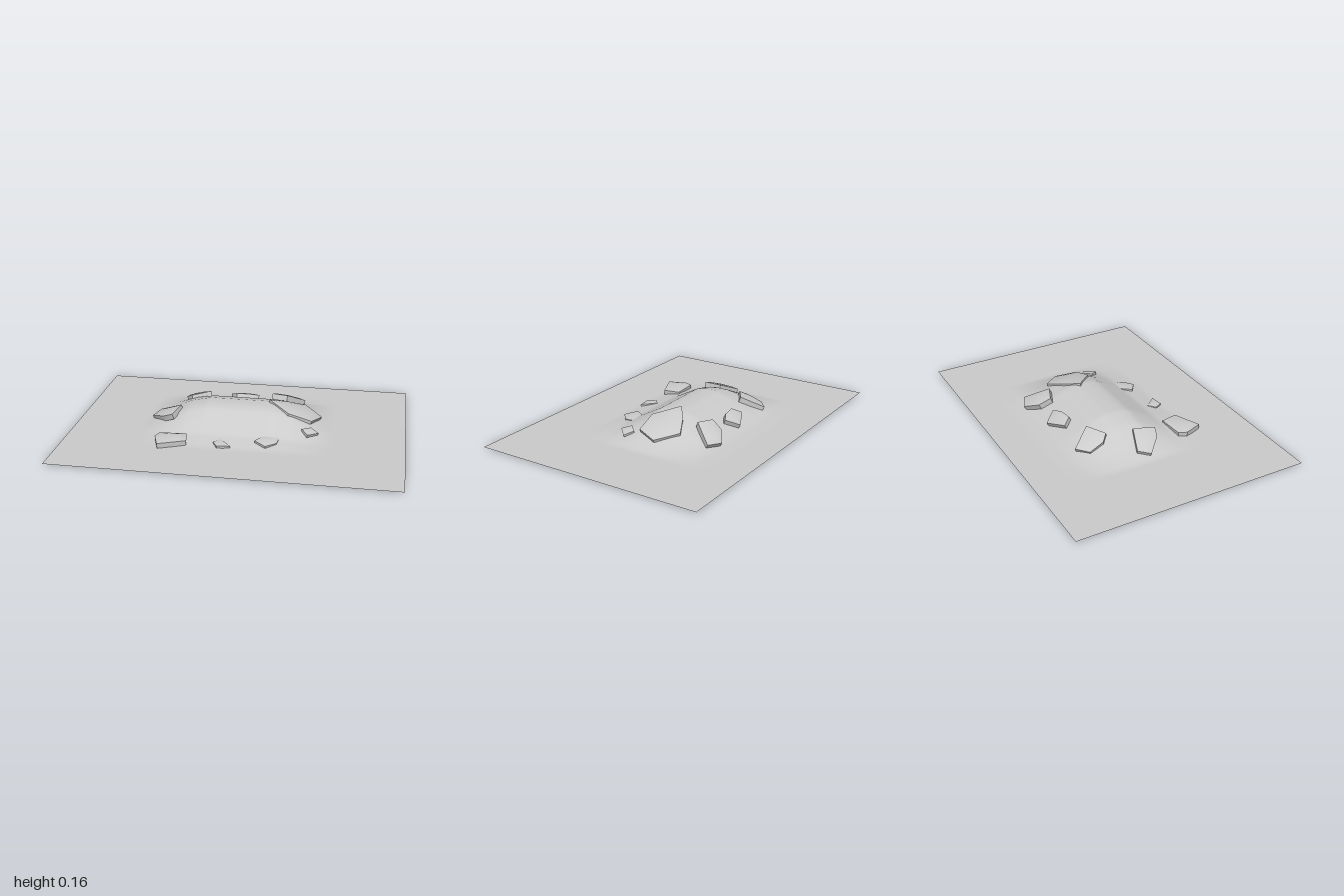
import * as THREE from 'three';
import { toCreasedNormals } from 'three/addons/utils/BufferGeometryUtils.js';

const BASE = 0.007;

// Piecewise linear profile through [position, value] pairs
function profile(points, t) {
  if (t <= points[0][0]) return points[0][1];
  for (let i = 1; i < points.length; i++) {
    const [a, u] = points[i - 1], [b, v] = points[i];
    if (t <= b) return u + (v - u) * (t - a) / (b - a);
  }
  return points[points.length - 1][1];
}

// Mound height across the width and along the depth
const ACROSS = [[0.2, 1], [0.32, 0.8], [0.48, 0.25], [0.57, 0]];
const ALONG = [[-0.5, 0], [-0.4, 0.07], [-0.2, 0.8], [-0.1, 1], [-0.02, 1], [0.04, 0.93], [0.22, 0.2], [0.35, 0]];

const moundHeight = (x, z) => BASE + 0.133 * profile(ACROSS, Math.abs(x)) * profile(ALONG, z);

// Flat sheet of earth raised into a mound
function makeGround(material) {
  const g = new THREE.PlaneGeometry(2, 1.43, 80, 58);
  g.rotateX(-Math.PI / 2);
  const p = g.attributes.position;
  for (let i = 0; i < p.count; i++) p.setY(i, moundHeight(p.getX(i), p.getZ(i)));
  g.computeVertexNormals();
  const mesh = new THREE.Mesh(g, material);
  mesh.name = 'ground';
  return mesh;
}

// Slab with a slightly domed top, tilted by slopes sx and sz and thickened along its normal
function makeStone({ name, outline, y, sx = 0, sz = 0 }, material) {
  const n = outline.length;
  const cx = outline.reduce((s, p) => s + p[0], 0) / n;
  const cz = outline.reduce((s, p) => s + p[1], 0) / n;
  const radius = outline.reduce((s, p) => s + Math.hypot(p[0] - cx, p[1] - cz), 0) / n;
  const thick = Math.min(0.035, radius * 0.42);
  const dome = radius * 0.1;
  const normal = new THREE.Vector3(-sx, 1, -sz).normalize();
  const pos = [], index = [];
  const add = (x, z, offset) => {
    const v = new THREE.Vector3(x, y + sx * (x - cx) + sz * (z - cz), z).addScaledVector(normal, offset);
    pos.push(v.x, Math.max(v.y, 0), v.z);
  };
  // rings from the underside up: [scale, offset along the normal]
  const rings = [[0.97, -thick], [1, 0], [0.6, dome * 0.7]];
  for (const [scale, offset] of rings) {
    for (const [x, z] of outline) add(cx + (x - cx) * scale, cz + (z - cz) * scale, offset);
  }
  add(cx, cz, dome);
  add(cx, cz, -thick);
  const top = rings.length * n, bottom = top + 1;
  for (let i = 0; i < n; i++) {
    const j = (i + 1) % n;
    for (let r = 0; r < rings.length - 1; r++) {
      const a = r * n + i, b = r * n + j;
      index.push(a, a + n, b, b, a + n, b + n);
    }
    index.push(top, 2 * n + j, 2 * n + i, bottom, i, j);
  }
  const g = new THREE.BufferGeometry();
  g.setAttribute('position', new THREE.Float32BufferAttribute(pos, 3));
  g.setIndex(index);
  const mesh = new THREE.Mesh(toCreasedNormals(g, 0.6), material);
  mesh.name = name;
  return mesh;
}

// Outlines run left, back, right, front as [x, z]
const STONES = [
  { name: 'backRightStone', y: 0.085, sx: 0.3, sz: 0.35,
    outline: [[-0.39, -0.31], [-0.32, -0.37], [-0.23, -0.25], [-0.34, -0.18], [-0.38, -0.22]] },
  { name: 'backMiddleStone', y: 0.085, sz: 0.5,
    outline: [[-0.11, -0.33], [0.01, -0.39], [0.07, -0.32], [0.02, -0.29], [-0.07, -0.28]] },
  { name: 'backLeftStone', y: 0.08, sx: -0.12, sz: 0.5,
    outline: [[0.16, -0.29], [0.18, -0.36], [0.27, -0.42], [0.36, -0.38], [0.26, -0.25]] },
  { name: 'largeLeftStone', y: 0.105, sx: -0.31, sz: 0.05,
    outline: [[0.17, -0.08], [0.26, -0.15], [0.38, -0.21], [0.49, -0.1], [0.44, 0.03], [0.3, 0.04]] },
  { name: 'smallLeftStone', y: 0.053, sx: -0.25, sz: -0.1,
    outline: [[0.39, 0.12], [0.44, 0.07], [0.49, 0.11], [0.43, 0.17]] },
  { name: 'frontLeftStone', y: 0.034, sx: -0.06, sz: -0.1,
    outline: [[0.13, 0.27], [0.17, 0.21], [0.27, 0.2], [0.26, 0.27], [0.2, 0.32]] },
  { name: 'frontMiddleStone', y: 0.024, sz: -0.06,
    outline: [[-0.11, 0.3], [-0.07, 0.26], [0, 0.34], [-0.08, 0.35]] },
  { name: 'frontRightStone', y: 0.038,
    outline: [[-0.46, 0.3], [-0.44, 0.25], [-0.28, 0.24], [-0.26, 0.34], [-0.42, 0.41]] },
  { name: 'rightStone', y: 0.075, sx: 0.42,
    outline: [[-0.55, 0], [-0.51, -0.07], [-0.37, -0.02], [-0.4, 0.11], [-0.46, 0.09]] },
];

export function createModel() {
  const group = new THREE.Group();
  group.name = 'stoneMound';
  const earth = new THREE.MeshStandardMaterial({ color: 0xcccccc, side: THREE.DoubleSide });
  const rock = new THREE.MeshStandardMaterial({ color: 0xcccccc });
  group.add(makeGround(earth));
  for (const stone of STONES) group.add(makeStone(stone, rock));
  return group;
}
